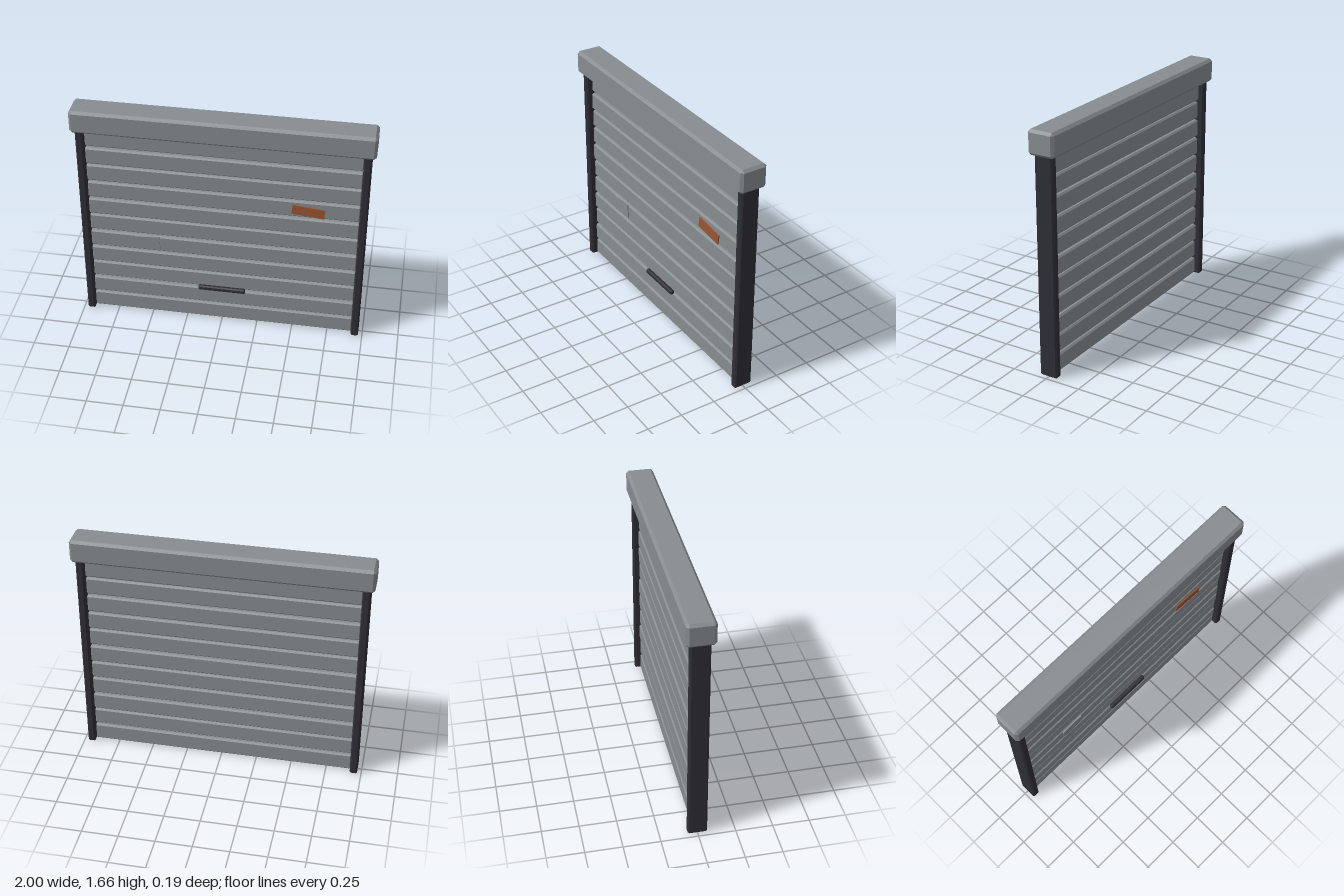
import * as THREE from 'three';
import { ConvexGeometry } from 'three/addons/geometries/ConvexGeometry.js';

const named = (name, color) => {
  const m = new THREE.MeshStandardMaterial({ color });
  m.name = name;
  return m;
};

// Box with every edge chamfered by b: 24 corner points, wrapped in a hull
function chamferBox(w, h, d, b) {
  const pts = [];
  for (const x of [-w / 2, w / 2]) for (const y of [-h / 2, h / 2]) for (const z of [-d / 2, d / 2]) {
    const ix = x - Math.sign(x) * b, iy = y - Math.sign(y) * b, iz = z - Math.sign(z) * b;
    pts.push(new THREE.Vector3(x, iy, iz), new THREE.Vector3(ix, y, iz), new THREE.Vector3(ix, iy, z));
  }
  return new ConvexGeometry(pts);
}

export function createModel() {
  const group = new THREE.Group();
  group.name = 'rollerShutter';
  const steel = named('greySteel', 0x868c90);
  const dark = named('darkMetal', 0x2e2e36);
  const rust = named('rust', 0x9a5432);

  const add = (name, geometry, material, x, y, z, tilt = 0) => {
    const mesh = new THREE.Mesh(geometry, material);
    mesh.name = name;
    mesh.position.set(x, y, z);
    mesh.rotation.z = tilt;
    group.add(mesh);
  };

  // Housing for the roll
  add('housing', chamferBox(2, 0.165, 0.19, 0.018), steel, 0, 1.582, 0);

  // Guide rails
  const railGeometry = chamferBox(0.052, 1.51, 0.13, 0.01);
  add('leftRail', railGeometry, dark, 0.946, 0.755, 0);
  add('rightRail', railGeometry, dark, -0.946, 0.755, 0);

  // Slats, each seated slightly differently in depth
  const pitch = 0.136;
  const slatGeometry = chamferBox(1.85, 0.126, 0.05, 0.011);
  for (let i = 0; i < 11; i++) {
    add(`slat${i + 1}`, slatGeometry, steel, 0, 0.066 + i * pitch, 0.003 * Math.sin(i * 2.3));
  }

  // Pull handle, repair plate and rust patch
  add('handle', chamferBox(0.33, 0.036, 0.03, 0.008), dark, 0, 0.277, 0.036);
  add('repairPlate', new THREE.BoxGeometry(0.17, 0.1, 0.008), steel, -0.52, 0.617, 0.029, 0.06);
  add('rustPatch', new THREE.BoxGeometry(0.22, 0.07, 0.008), rust, 0.58, 1.01, 0.03, -0.11);

  return group;
}
